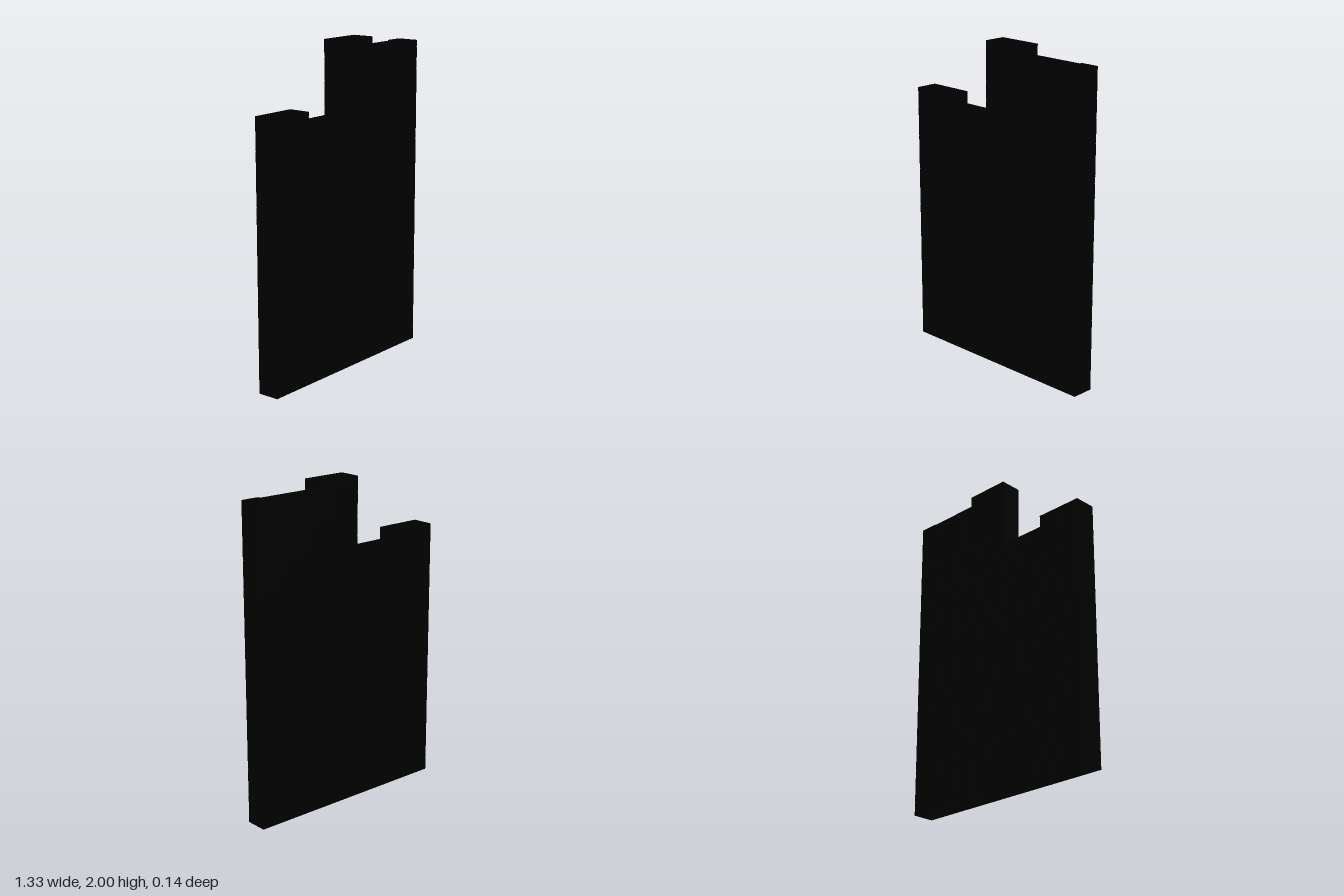
import * as THREE from 'three';

const L = -0.667, R = 0.667, T = -0.067, DEPTH = 0.137, GAP = 0.002;

// Each course: bottom, top, left end, right end, vertical joints
const COURSES = [
  [0, 0.08, L, R, [-0.455]],
  [0.08, 0.18, L, R, [-0.35, -0.205, -0.05, 0.33]],
  [0.18, 0.28, L, R, [-0.43, 0.31]],
  [0.28, 0.34, L, R, [0, 0.30, 0.44]],
  [0.34, 0.44, L, R, [-0.275, -0.01, 0.27, 0.56]],
  [0.44, 0.495, L, R, [-0.37, -0.235, 0.305, 0.54]],
  [0.495, 0.58, L, R, [-0.52, -0.37, 0.025, 0.12, 0.34, 0.57]],
  [0.58, 0.685, L, R, [-0.555]],
  [0.685, 0.78, L, R, []],
  [0.78, 0.88, L, R, [-0.205, 0.465]],
  [0.88, 0.955, L, R, [-0.59, -0.475, -0.37, -0.11, -0.02, 0.165, 0.30]],
  [0.955, 1.055, L, R, [-0.56, 0.095, 0.265, 0.37]],
  [1.055, 1.11, L, R, [-0.545, -0.45, -0.19, 0.53]],
  [1.11, 1.2, L, R, [-0.075]],
  [1.2, 1.27, L, R, [-0.44]],
  [1.27, 1.32, L, R, []],
  [1.32, 1.38, L, R, [-0.54, 0.27, 0.35]],
  [1.38, 1.43, L, R, [0.41, 0.49]],
  [1.43, 1.505, L, R, [-0.26, -0.16, 0.285, 0.38, 0.525]],
  // broken shoulder on the low side
  [1.505, 1.6, L, -0.37, []],
  [1.505, 1.555, -0.37, T, [-0.155]],
  [1.6, 1.63, L, -0.37, [-0.52]],
  // tall side
  [1.505, 1.6, T, R, [-0.01, 0.235, 0.345, 0.49]],
  [1.6, 1.65, T, R, [0.045, 0.365]],
  [1.65, 1.76, T, R, [0.06, 0.415]],
  [1.76, 1.82, T, R, []],
  [1.82, 1.9, T, R, [0.30, 0.525]],
  // crest
  [1.9, 2, T, 0.215, []],
  [1.9, 1.935, 0.215, 0.55, []],
  [1.9, 1.94, 0.55, R, []],
];

export function createModel() {
  const wall = new THREE.Group();
  wall.name = 'brickWall';
  const geometry = new THREE.BoxGeometry(1, 1, 1);
  const material = new THREE.MeshStandardMaterial({ color: 0x000000 });
  let seed = 7;
  const random = () => (seed = (seed * 16807) % 2147483647) / 2147483647;

  const addBrick = (course, x0, x1, y0, y1) => {
    const brick = new THREE.Mesh(geometry, material);
    brick.name = 'brick';
    // Thin dry joints between bricks, flush along the ground and the crest
    const low = y0 > 0 ? y0 + GAP / 2 : 0;
    const high = y1 < 2 ? y1 - GAP / 2 : 2;
    const left = x0 === L ? L : x0 + GAP / 2;
    const right = x1 === R ? R : x1 - GAP / 2;
    brick.scale.set(right - left, high - low, DEPTH);
    brick.position.set((left + right) / 2, (low + high) / 2, 0);
    course.add(brick);
  };

  COURSES.forEach(([y0, y1, x0, x1, joints]) => {
    const course = new THREE.Group();
    course.name = 'brickCourse';
    const ends = [x0, ...joints, x1];
    for (let i = 0; i < ends.length - 1; i++) {
      // Long stretches are split into uneven bricks
      const a = ends[i], b = ends[i + 1];
      const n = y0 >= 1.9 ? 1 : Math.max(1, Math.round((b - a) / 0.16));
      let start = a;
      for (let k = 1; k <= n; k++) {
        const end = k === n ? b : a + ((b - a) * (k + (random() - 0.5) * 0.5)) / n;
        addBrick(course, start, end, y0, y1);
        start = end;
      }
    }
    wall.add(course);
  });
  return wall;
}
